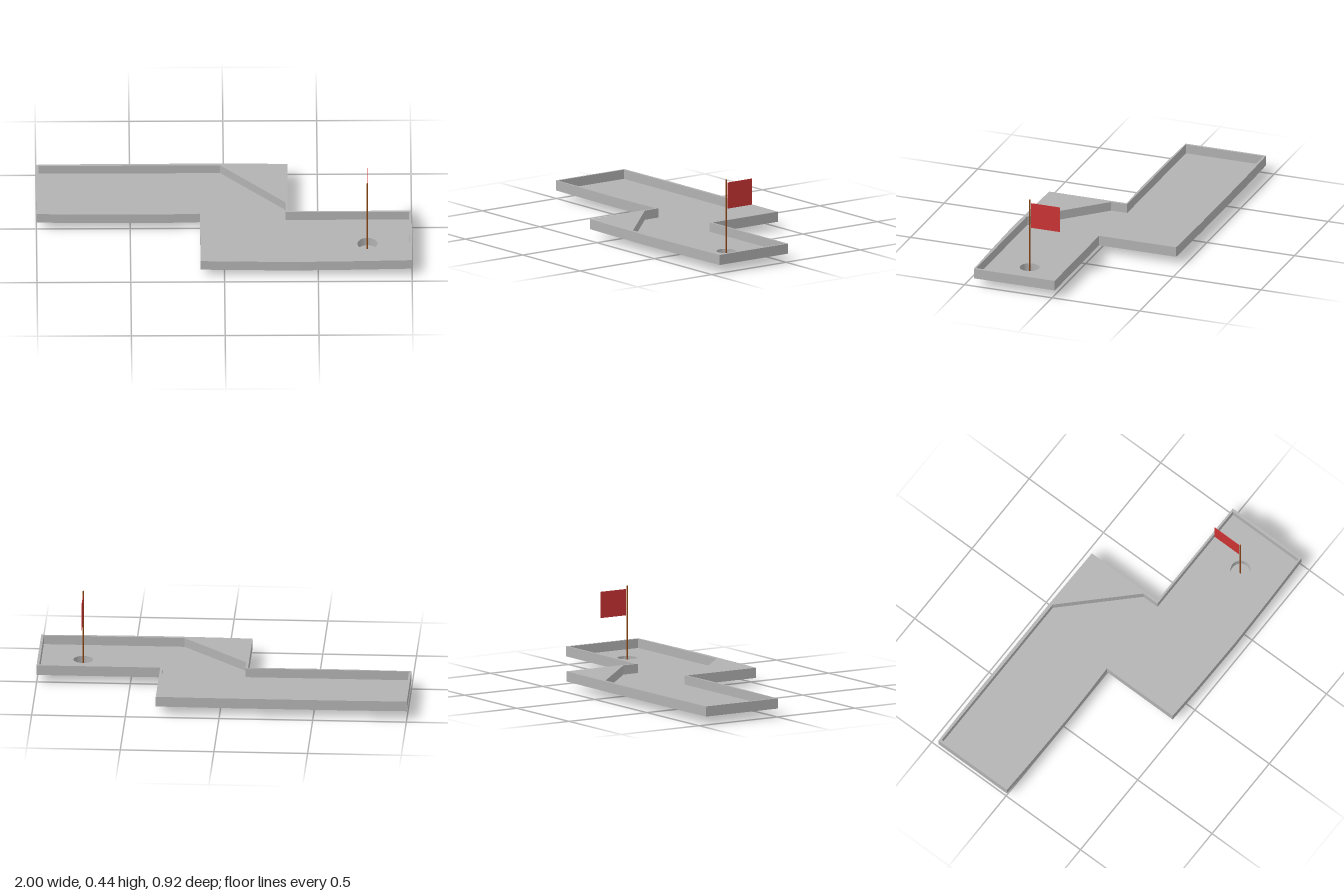
import * as THREE from 'three';
import { toCreasedNormals } from 'three/addons/utils/BufferGeometryUtils.js';

const HOLE = { x: 0.763, z: 0.219, r: 0.053 };
const BASE = 0.045, FLOOR = 0.05, RIM = 0.1;

export function createModel() {
  const model = new THREE.Group();
  const material = (name, color) => {
    const m = new THREE.MeshStandardMaterial({ color });
    m.name = name;
    return m;
  };
  const grey = material('concrete grey', 0xb2b2b2);
  const brown = material('pole brown', 0x8b4513);
  const red = material('flag red', 0xcc3333);

  const add = (name, geometry, mat) => {
    const mesh = new THREE.Mesh(geometry, mat);
    mesh.name = name;
    model.add(mesh);
    return mesh;
  };
  const points = (list) => list.map(([x, z]) => new THREE.Vector2(x, z));

  // Plan outline in x, z, with slightly bowed long sides
  const outline = points([
    [-1, -0.455], [-0.8, -0.458], [-0.6, -0.46], [-0.03, -0.46], [0.15, -0.458], [0.34, -0.455],
    [0.34, -0.015], [1, -0.015],
    [1, 0.447], [0.7, 0.455], [0.4, 0.46], [0.07, 0.455], [-0.128, 0.449],
    [-0.128, 0.007], [-0.3, 0.012], [-0.5, 0.014], [-0.8, 0.01], [-1, 0.005],
  ]);
  // Playing area, with a cut-off corner at each bend
  const lane = points([
    [-0.987, -0.443], [-0.018, -0.443], [0.327, -0.098], [0.327, -0.004], [0.986, -0.004],
    [0.986, 0.438], [0.234, 0.438], [-0.114, 0.09], [-0.114, -0.001], [-0.987, -0.001],
  ]);

  // Extrude a plan shape between two heights
  const slab = (shape, bottom, top) =>
    new THREE.ExtrudeGeometry(shape, { depth: top - bottom, bevelEnabled: false, curveSegments: 32 })
      .rotateX(Math.PI / 2).translate(0, top, 0);

  // Floor with the round hole
  const floorShape = new THREE.Shape(outline);
  floorShape.holes.push(new THREE.Path().absarc(HOLE.x, HOLE.z, HOLE.r, 0, Math.PI * 2, true));
  add('floor', slab(floorShape, BASE, FLOOR), grey);

  // Border walls, including the solid corner wedges
  const wallShape = new THREE.Shape(outline);
  wallShape.holes.push(new THREE.Path(lane));
  add('borderWalls', slab(wallShape, FLOOR, RIM), grey);

  // Cup hanging below the floor
  const cupProfile = points([
    [0, 0], [0.055, 0], [0.055, BASE], [HOLE.r, BASE], [HOLE.r, 0.003], [0, 0.003],
  ]);
  const cup = add('cup', toCreasedNormals(new THREE.LatheGeometry(cupProfile, 32), 0.6), grey);
  cup.position.set(HOLE.x, 0, HOLE.z);

  // Flag pole and flag
  const pole = add('pole', new THREE.CylinderGeometry(0.004, 0.004, 0.437, 12), brown);
  pole.position.set(HOLE.x, 0.2215, HOLE.z);
  const flag = add('flag', new THREE.BoxGeometry(0.002, 0.142, 0.163), red);
  flag.position.set(HOLE.x, 0.351, 0.128);

  return model;
}
